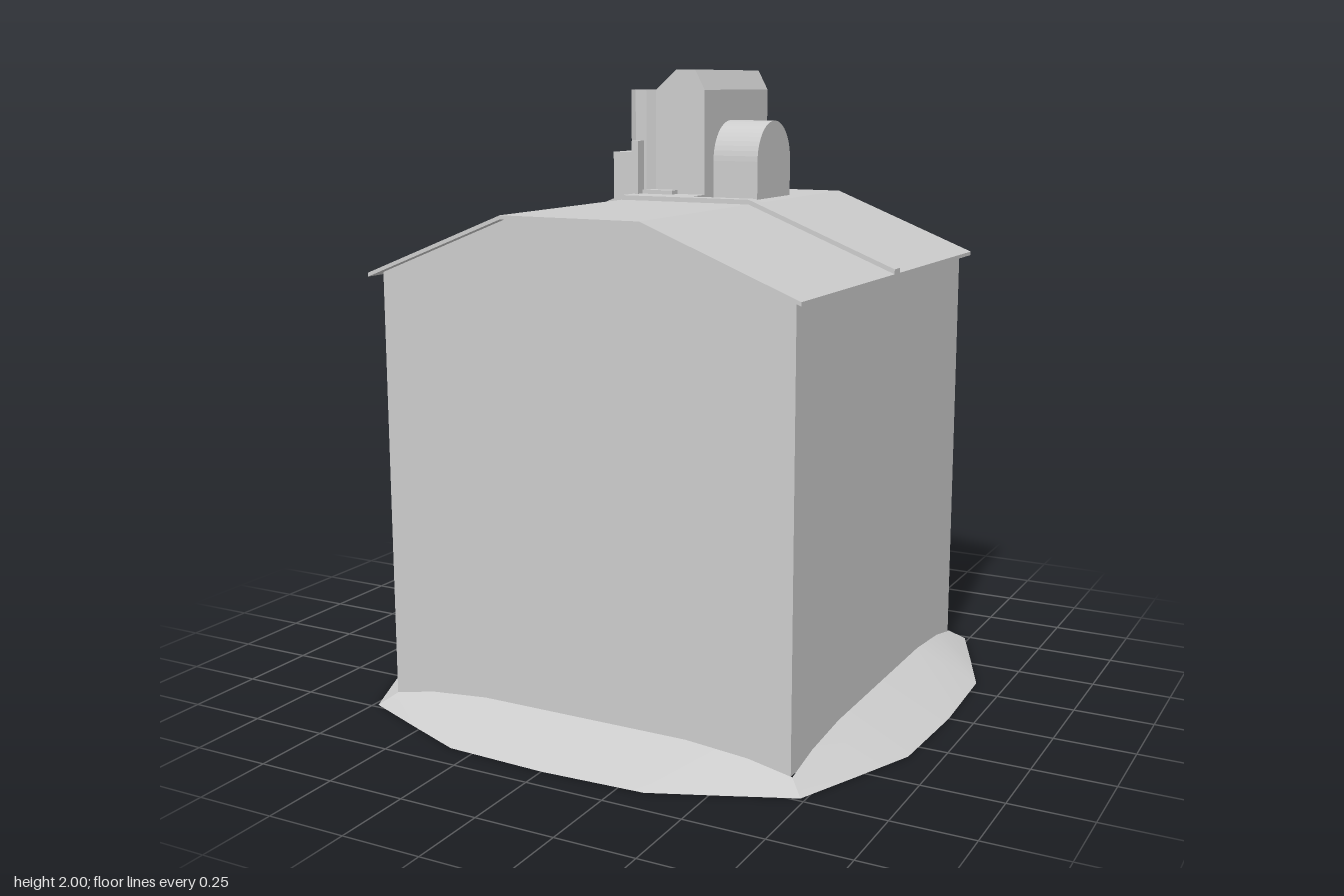
import * as THREE from 'three';

const grey = new THREE.MeshStandardMaterial({ color: 0xcccccc, flatShading: true });
const thin = new THREE.MeshStandardMaterial({ color: 0xcccccc, side: THREE.DoubleSide });

function polygon(points) {
  return new THREE.Shape(points.map(([x, y]) => new THREE.Vector2(x, y)));
}

export function createModel() {
  const model = new THREE.Group();

  function add(name, geometry, material = grey) {
    const mesh = new THREE.Mesh(geometry, material);
    mesh.name = name;
    model.add(mesh);
    return mesh;
  }
  // Profile in x/y, extruded from z0 to z1
  function prism(name, shape, z0, z1) {
    const g = new THREE.ExtrudeGeometry(shape, { depth: z1 - z0, bevelEnabled: false, curveSegments: 8 });
    return add(name, g.translate(0, 0, z0));
  }
  // Box given by its limits
  function block(name, x0, x1, y0, y1, z0, z1) {
    const g = new THREE.BoxGeometry(x1 - x0, y1 - y0, z1 - z0);
    return add(name, g.translate((x0 + x1) / 2, (y0 + y1) / 2, (z0 + z1) / 2));
  }

  // House body with gabled ends
  prism('body', polygon([
    [-0.69, 0.035], [0.685, 0.035], [0.685, 1.395], [0.225, 1.572], [-0.235, 1.572], [-0.69, 1.395],
  ]), -0.69, 0.69);

  // Thin roof following a flat-topped gable, plus a raised batten across it
  function roofStrip(name, bottom, top, z0, z1) {
    const line = (y) => [[-0.722, y - 0.193], [-0.235, y], [0.225, y], [0.714, y - 0.193]];
    prism(name, polygon([...line(bottom), ...line(top).reverse()]), z0, z1);
  }
  roofStrip('roof', 1.57, 1.582, -0.725, 0.725);
  roofStrip('roofBatten', 1.575, 1.597, -0.025, 0.022);

  // Sloping ground skirt: [along side, outer distance, inner along, inner height]
  const half = [
    [0.735, 0.735, 0.69, 0.035], [0.535, 0.82, 0.55, 0.063],
    [0.33, 0.905, 0.35, 0.08], [0, 0.92, 0, 0.08],
  ];
  const side = [...half, ...half.slice(0, 3).reverse().map(([a, d, i, h]) => [-a, d, -i, h])];
  const position = [], index = [];
  for (let s = 0; s < 4; s++) {
    const c = Math.cos(s * Math.PI / 2), n = Math.sin(s * Math.PI / 2);
    const push = (x, y, z) => position.push(x * c + z * n, y, z * c - x * n);
    const first = position.length / 3;
    side.forEach(([a, d, i, h], k) => {
      push(a, 0, d);
      push(i, h, 0.69);
      if (k < side.length - 1) {
        const v = first + k * 2;
        index.push(v, v + 1, v + 2, v + 1, v + 3, v + 2);
      }
    });
  }
  const skirt = new THREE.BufferGeometry();
  skirt.setAttribute('position', new THREE.Float32BufferAttribute(position, 3));
  skirt.setIndex(index);
  skirt.computeVertexNormals();
  add('groundSkirt', skirt, thin);

  // Rooftop unit: tall housing with bevelled top
  prism('tallHousing', polygon([
    [-0.18, 1.56], [0, 1.56], [0, 1.935], [-0.035, 2], [-0.105, 2], [-0.18, 1.935],
  ]), -0.6, -0.115);

  // Middle housing with chamfered corners, seen in plan as x / -z
  const plan = polygon([
    [-0.275, 0.12], [-0.245, 0.095], [-0.205, 0.095], [-0.175, 0.12],
    [-0.175, 0.6], [-0.205, 0.625], [-0.245, 0.625], [-0.275, 0.6],
  ]);
  const middle = new THREE.ExtrudeGeometry(plan, { depth: 0.395, bevelEnabled: false });
  add('middleHousing', middle.rotateX(-Math.PI / 2).translate(0, 1.54, 0));

  block('lowHousing', -0.345, -0.27, 1.51, 1.73, -0.6, -0.12);
  block('endFins', -0.24, -0.215, 1.56, 1.77, -0.648, -0.055);
  block('footPlate', -0.21, -0.1, 1.57, 1.61, -0.625, -0.075);
  block('accessPlate', -0.235, 0, 1.575, 1.597, -0.13, -0.02);

  // Arched side housing, profile in -z / y extruded along x
  const arch = new THREE.Shape();
  arch.moveTo(0.18, 1.57);
  arch.lineTo(0.44, 1.57);
  arch.lineTo(0.44, 1.705);
  arch.absarc(0.31, 1.705, 0.13, 0, Math.PI, false);
  arch.closePath();
  const archGeometry = new THREE.ExtrudeGeometry(arch, { depth: 0.17, bevelEnabled: false, curveSegments: 12 });
  add('archedHousing', archGeometry.rotateY(Math.PI / 2).translate(-0.01, 0, 0));

  return model;
}
